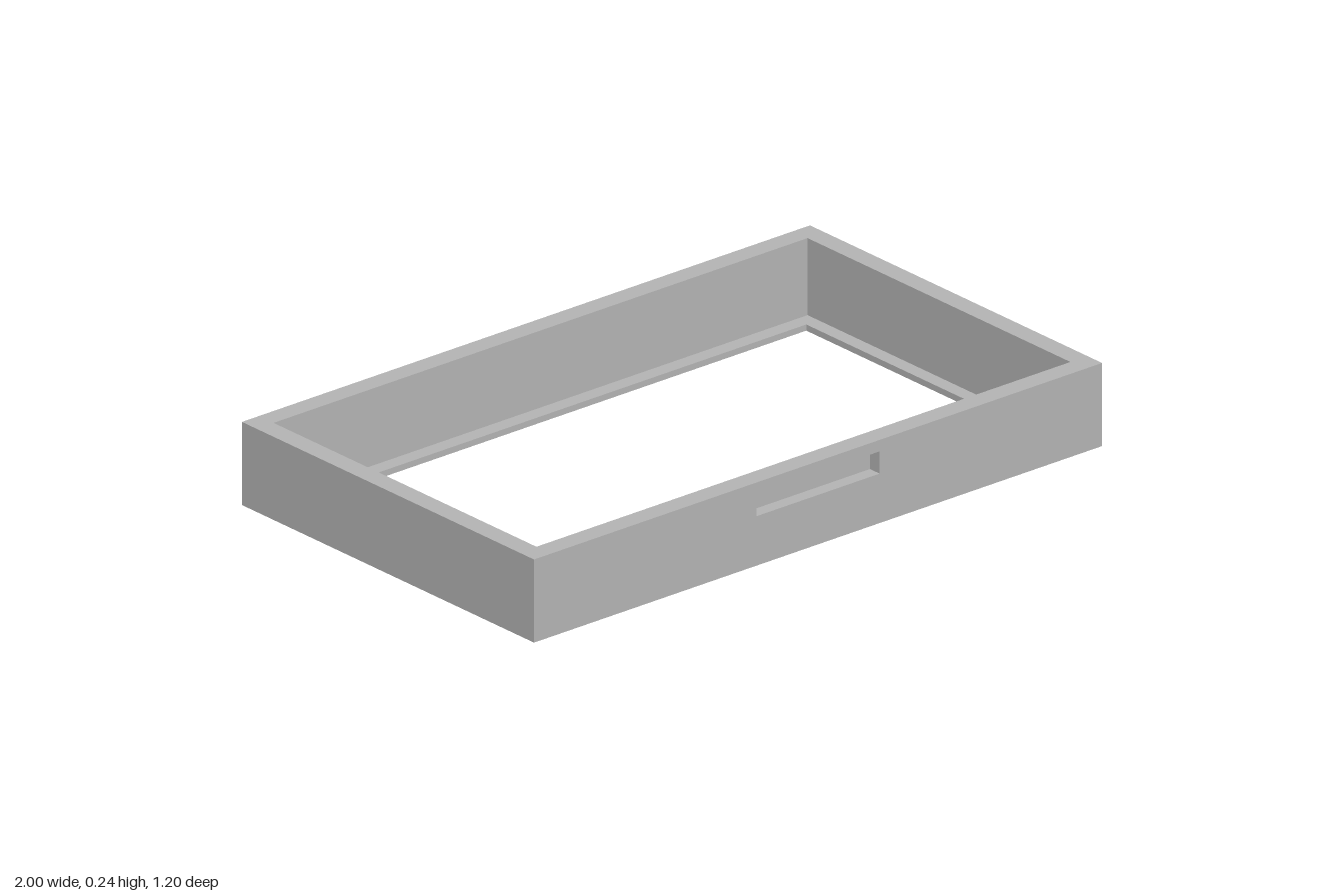
import * as THREE from 'three';
import { mergeGeometries } from 'three/addons/utils/BufferGeometryUtils.js';

const W = 2, D = 1.2, H = 0.243;          // outer size
const IW = 1.88, ID = 1.08;               // inside the walls
const OW = 1.794, OD = 0.99;              // opening inside the ledge
const LEDGE = 0.018;                      // ledge thickness
const SLOT = { w: 0.434, h: 0.065, y: 0.177, depth: 0.04 };

// Rectangular ring of upright faces, looking outward or inward
function band(w, d, y0, y1, inward, sides = [0, 1, 2, 3]) {
  return mergeGeometries(sides.map((k) => {
    const width = k % 2 ? d : w;
    const dist = (k % 2 ? w : d) / 2;
    return new THREE.PlaneGeometry(width, y1 - y0)
      .translate(0, (y0 + y1) / 2, inward ? -dist : dist)
      .rotateY(k * Math.PI / 2);
  }));
}

function rectangle(Type, w, h, cy = 0) {
  const x = w / 2, y = h / 2;
  return new Type([[-x, -y], [x, -y], [x, y], [-x, y]]
    .map(([a, b]) => new THREE.Vector2(a, b + cy)));
}

// Flat plate face with a rectangular hole, facing +z
function holedFace(w, h, holeW, holeH, cy = 0, holeY = 0) {
  const shape = rectangle(THREE.Shape, w, h, cy);
  shape.holes.push(rectangle(THREE.Path, holeW, holeH, holeY));
  return new THREE.ShapeGeometry(shape);
}

// The same, laid flat to face up or down
function flatRing(w, d, holeW, holeD, y, up) {
  return holedFace(w, d, holeW, holeD)
    .rotateX(up ? -Math.PI / 2 : Math.PI / 2)
    .translate(0, y, 0);
}

export function createModel() {
  const model = new THREE.Group();
  model.name = 'openTrayFrame';
  const grey = new THREE.MeshStandardMaterial({ color: 0xb2b2b2 });
  grey.name = 'grey';

  const add = (name, geometry) => {
    const mesh = new THREE.Mesh(geometry, grey);
    mesh.name = name;
    model.add(mesh);
  };

  // Walls and rim
  add('outerWalls', band(W, D, 0, H, false, [1, 2, 3]));
  add('frontPanel', holedFace(W, H, SLOT.w, SLOT.h, H / 2, SLOT.y).translate(0, 0, D / 2));
  add('innerWalls', band(IW, ID, LEDGE, H, true));
  add('topRim', flatRing(W, D, IW, ID, H, true));

  // Thin ledge around the open bottom
  add('ledgeTop', flatRing(IW, ID, OW, OD, LEDGE, true));
  add('ledgeEdge', band(OW, OD, 0, LEDGE, true));
  add('underside', flatRing(W, D, OW, OD, 0, false));

  // Blind slot in the front panel
  const slotSides = band(SLOT.w, SLOT.h, 0, SLOT.depth, true).rotateX(Math.PI / 2);
  const slotBack = new THREE.PlaneGeometry(SLOT.w, SLOT.h);
  add('slotRecess', mergeGeometries([slotSides, slotBack])
    .translate(0, SLOT.y, D / 2 - SLOT.depth));

  return model;
}
